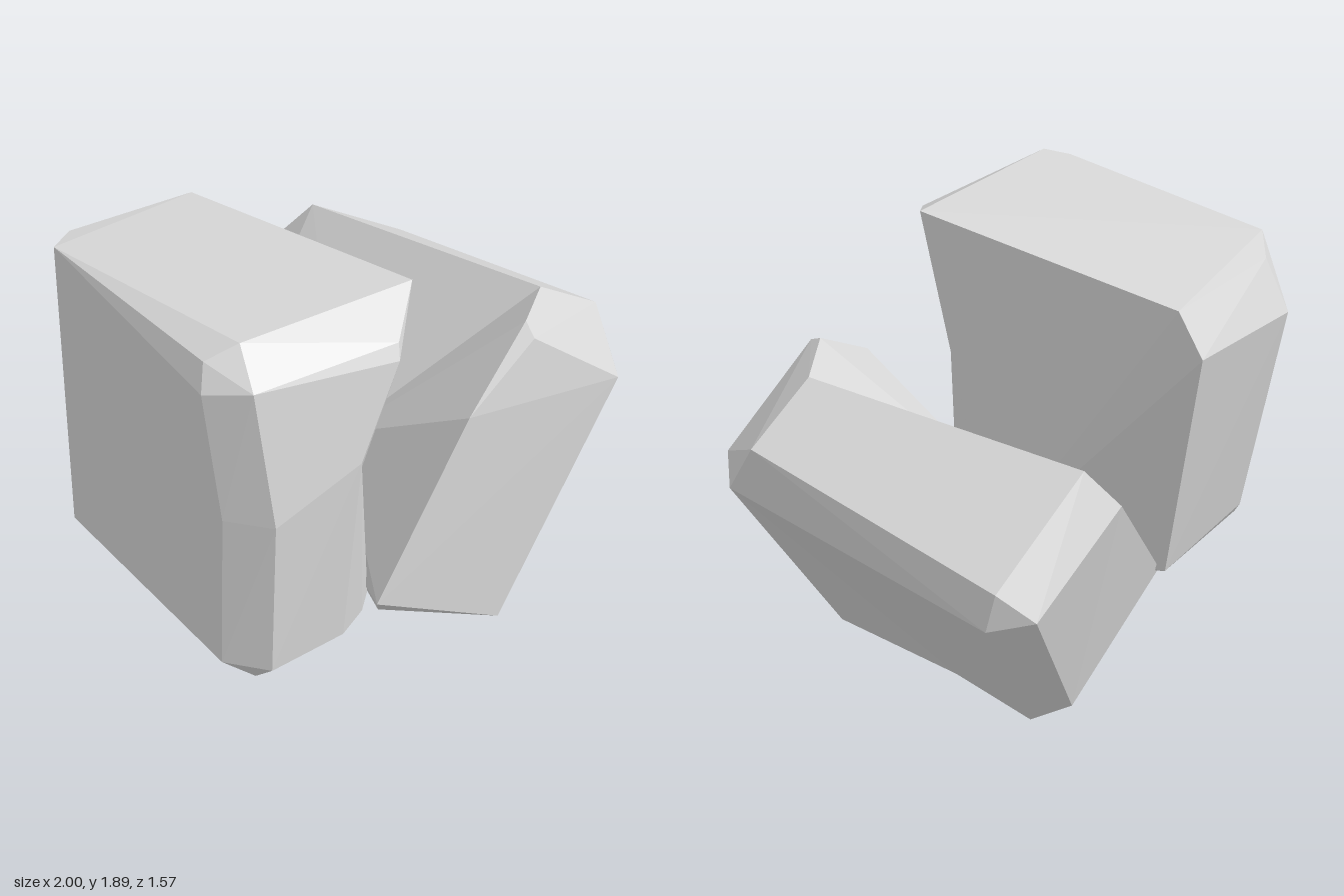
import * as THREE from 'three';
import { ConvexGeometry } from 'three/addons/geometries/ConvexGeometry.js';

const stone = new THREE.MeshStandardMaterial({ color: 0xd7d7d7, flatShading: true });
stone.name = 'grey stone';

// A faceted chunk: the convex hull of a few corner points
function chunk(name, corners) {
  const points = corners.map(([x, y, z]) => new THREE.Vector3(x, y, z));
  const mesh = new THREE.Mesh(new ConvexGeometry(points), stone);
  mesh.name = name;
  return mesh;
}

function rock(name, ...chunks) {
  const group = new THREE.Group();
  group.name = name;
  group.add(...chunks);
  return group;
}

export function createModel() {
  // Upright rock: corners shared by its two overlapping chunks
  const uprightShared = [
    // worn inner side
    [-0.48, 1.37, 0.78], [0.03, 0.5, 0.12],
    // left front edge
    [-0.85, 1.25, 0.755], [-0.88, 0.58, 0.755], [-1, 0.59, 0.61], [-0.967, 1.25, 0.6],
    // back and its bevel, down to the base
    [-0.19, 1.54, -0.72], [-0.74, 1.54, -0.75],
    [-0.25, 0.5, -0.55], [-0.78, 0.57, -0.56], [-0.94, 0.56, -0.45], [-0.87, 0.46, -0.48],
    // underside
    [-0.83, 0.4, 0.5], [-0.87, 0.46, 0.64], [-0.25, 0.42, -0.33], [-0.84, 0.41, -0.3],
  ];
  const uprightTop = [
    [-0.8, 1.89, 0.51], [-0.055, 1.85, 0.55], [-0.18, 1.715, -0.61],
    [-0.73, 1.745, -0.64], [-0.87, 1.785, -0.53], [-0.92, 1.84, 0.46],
    [-0.97, 1.75, 0.51], [-0.86, 1.785, 0.66], [-0.28, 1.705, 0.745], [-0.26, 1.76, 0.715],
  ];
  const uprightFoot = [[-0.54, 0.56, 0.755], [-0.33, 0.46, 0.62], [-0.2, 0.4, 0.5]];

  // Leaning rock: corners shared by its two overlapping chunks,
  // including the shallow dip across its underside
  const leaningShared = [
    [0.7, 1.45, 0.465], [1, 1.26, 0.49], [0.985, 1.03, 0.64],
    [0.045, 0.79, 0.03], [0.42, 0.12, 0], [0.06, 0.2, 0],
  ];
  const leaningFront = [
    [0.47, 1.475, 0.62], [0.45, 1.44, 0.69], [0.1, 1.25, 0.72], [0.87, 1.1, 0.76],
    [-0.35, 0.58, 0.73], [0.27, 0.18, 0.77], [-0.23, 0.39, 0.6],
    [0.4, 0.1, 0.65], [0.39, 0.095, 0.3], [0.2, 0.07, 0.17],
  ];
  const leaningBack = [
    [0.49, 1.36, -0.68], [0.4, 1.21, -0.785], [0.87, 0.94, -0.765],
    [0.96, 1.06, -0.65], [0.98, 0.9, -0.62], [-0.28, 0.48, -0.5],
    [-0.12, 0.21, -0.39], [0.23, 0, -0.36], [0.34, 0.16, -0.53], [0.44, 0.09, -0.4],
  ];

  const model = new THREE.Group();
  model.name = 'rocks';
  model.add(
    rock('uprightRock',
      chunk('uprightRockBody', [...uprightShared, ...uprightTop]),
      chunk('uprightRockFoot', [...uprightShared, ...uprightFoot])),
    rock('leaningRock',
      chunk('leaningRockFront', [...leaningShared, ...leaningFront]),
      chunk('leaningRockBack', [...leaningShared, ...leaningBack])),
  );
  return model;
}
